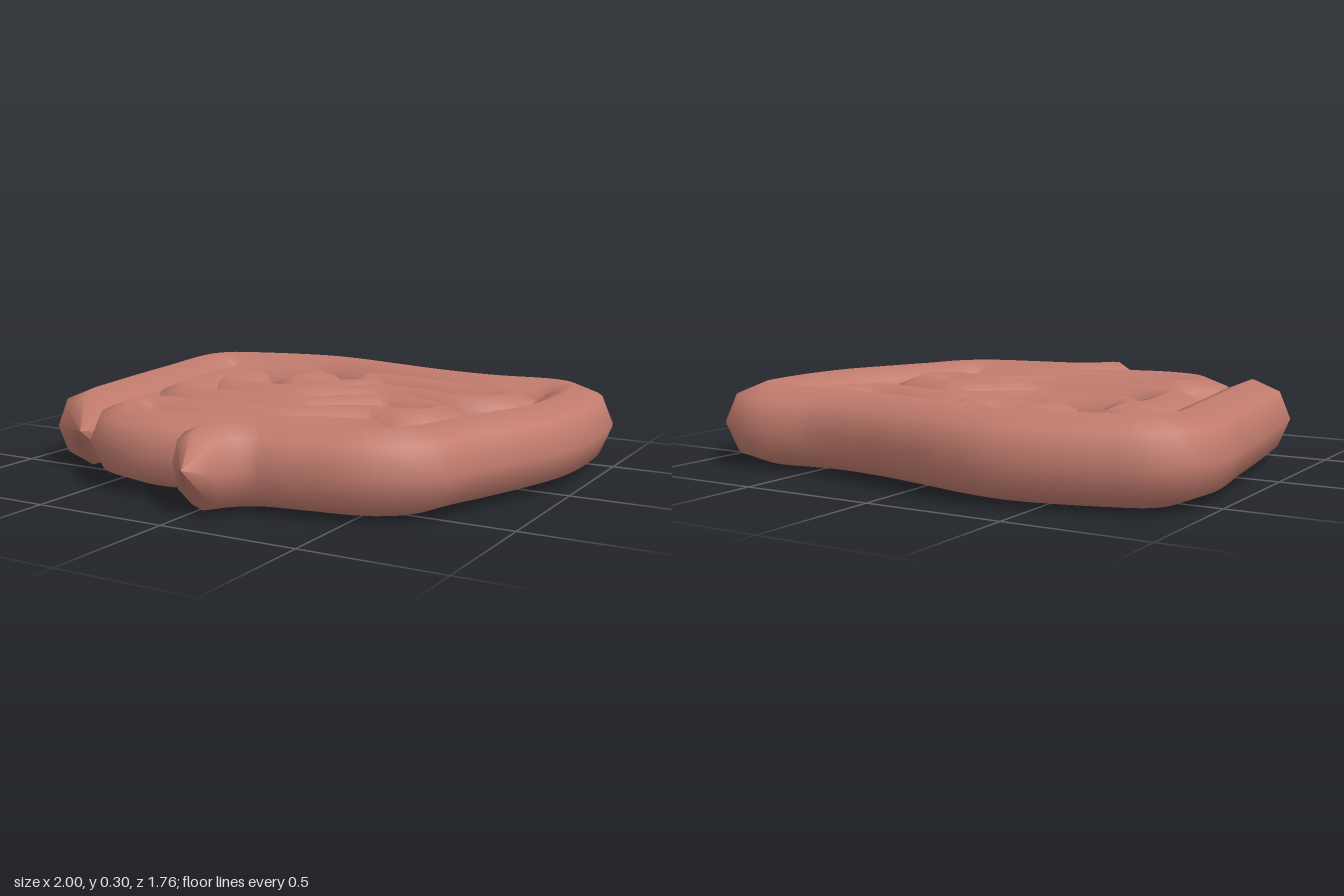
import * as THREE from 'three';

const material = new THREE.MeshStandardMaterial({ color: 0xc27c6e });
const MID = 0.152; // height of every centreline

// Eight-sided tube along a flat [x, z] path, with rounded closed ends
function gutTube(name, path, radius, cap = 0.1) {
  const curve = new THREE.CatmullRomCurve3(
    path.map(([x, z]) => new THREE.Vector3(x, MID, z)), false, 'centripetal');
  const length = curve.getLength();
  const rings = Math.round(length / 0.04);
  const sides = 8;
  const geometry = new THREE.TubeGeometry(curve, rings, radius, sides, false);
  const pos = geometry.attributes.position;
  const v = new THREE.Vector3();
  for (let i = 0; i <= rings; i++) {
    const centre = curve.getPointAt(i / rings);
    const toEnd = Math.min(i, rings - i) / rings * length;
    const k = 1 - Math.min(1, toEnd / cap);
    const scale = Math.sqrt(1 - k * k);
    for (let j = 0; j <= sides; j++) {
      const n = i * (sides + 1) + j;
      v.fromBufferAttribute(pos, n).sub(centre).multiplyScalar(scale).add(centre);
      pos.setXYZ(n, v.x, v.y, v.z);
    }
  }
  const mesh = new THREE.Mesh(geometry, material);
  mesh.name = name;
  return mesh;
}

export function createModel() {
  const group = new THREE.Group();
  group.name = 'intestines';

  // Wide tube framing the coils, open at the lower front
  group.add(gutTube('largeIntestine', [
    [-0.71, 0.545], [-0.73, 0.4], [-0.77, 0.15], [-0.81, -0.15], [-0.85, -0.5],
    [-0.81, -0.6], [-0.68, -0.66], [-0.38, -0.73], [-0.22, -0.72], [0, -0.67],
    [0.22, -0.62], [0.46, -0.595], [0.72, -0.62], [0.81, -0.57], [0.85, -0.35],
    [0.835, -0.08], [0.77, 0.12], [0.69, 0.32], [0.63, 0.49], [0.52, 0.575],
    [0.3, 0.62], [0.15, 0.65], [0.06, 0.72], [-0.01, 0.87],
  ], 0.148));

  // Lower coils: down the left, then three rows folding back and forth
  group.add(gutTube('lowerCoils', [
    [-0.64, -0.54], [-0.61, -0.35], [-0.6, -0.1], [-0.55, 0.1], [-0.46, 0.165],
    [-0.2, 0.165], [0.02, 0.13], [0.16, 0.02], [0.28, -0.065], [0.4, -0.04],
    [0.52, 0.03], [0.53, 0.11], [0.45, 0.17], [0.34, 0.165], [0.22, 0.23],
    [0.05, 0.34], [-0.2, 0.395], [-0.46, 0.4], [-0.51, 0.47], [-0.45, 0.58],
    [-0.3, 0.63], [-0.12, 0.605], [0.1, 0.52], [0.3, 0.43], [0.54, 0.4],
  ], 0.135));

  // Upper coils: a row across, a fold at the right, and a small winding end
  group.add(gutTube('upperCoils', [
    [-0.66, -0.48], [-0.56, -0.38], [-0.54, -0.24], [-0.48, -0.12], [-0.34, -0.09],
    [-0.14, -0.12], [0, -0.2], [0.14, -0.28], [0.28, -0.28], [0.5, -0.23],
    [0.6, -0.3], [0.635, -0.4], [0.58, -0.45], [0.35, -0.475], [0.1, -0.525],
    [-0.05, -0.53], [-0.02, -0.44], [0.01, -0.38], [-0.1, -0.3], [-0.26, -0.28],
    [-0.29, -0.36], [-0.27, -0.48], [-0.36, -0.53], [-0.57, -0.54],
  ], 0.125));

  return group;
}
